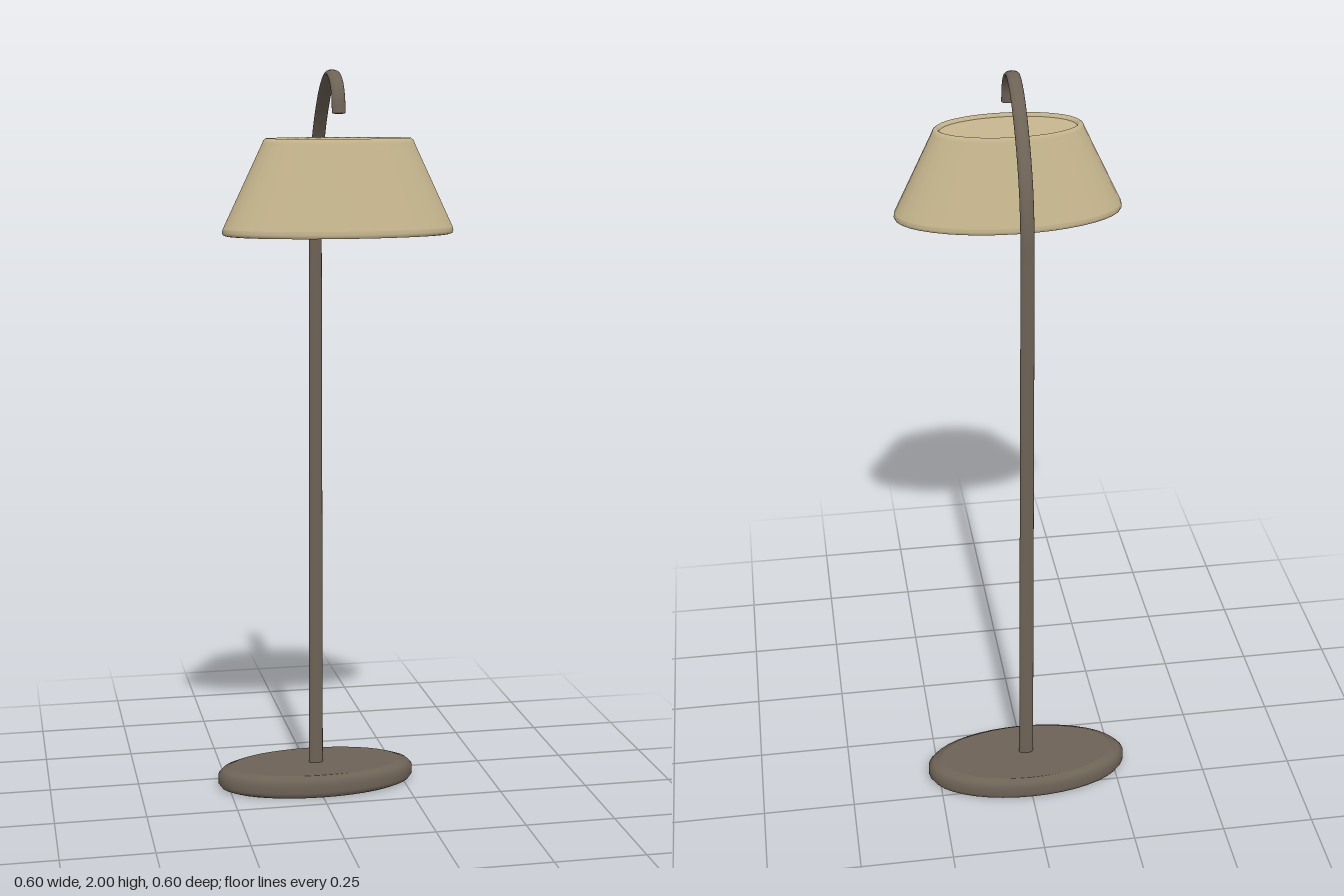
import * as THREE from 'three';

const FLATTEN = 0.465; // every round part is an ellipse, narrow from front to back
const SEGMENTS = 40;

export function createModel() {
  const model = new THREE.Group();
  const bronze = new THREE.MeshStandardMaterial({ color: 0x6d6256 });
  bronze.name = 'bronze';
  const linen = new THREE.MeshStandardMaterial({ color: 0xc8b78f });
  linen.name = 'linen';

  const add = (parent, name, geometry, material, z = 0) => {
    const mesh = new THREE.Mesh(geometry, material);
    mesh.name = name;
    mesh.position.z = z;
    parent.add(mesh);
  };

  // Elliptical turned part: separate profiles keep the edges between them sharp
  const turned = (name, material, z, profiles) => {
    const part = new THREE.Group();
    part.name = name;
    for (const [label, points] of Object.entries(profiles)) {
      const geometry = new THREE.LatheGeometry(
        points.map(([r, y]) => new THREE.Vector2(r, y)), SEGMENTS);
      geometry.scale(1, 1, FLATTEN);
      add(part, label, geometry, material, z);
    }
    model.add(part);
  };

  // Weighted foot with rounded edges
  turned('base', bronze, -0.17, {
    baseUnderside: [[0, 0], [0.258, 0]],
    baseEdge: [[0.258, 0], [0.272, 0.005], [0.28, 0.016], [0.28, 0.042], [0.267, 0.055], [0.242, 0.063]],
    baseTop: [[0.242, 0.063], [0, 0.063]],
  });

  // Tapered shade with a rolled rim and a slightly sunken top
  turned('shade', linen, 0.158, {
    shadeUnderside: [[0, 1.588], [0.288, 1.588]],
    shadeRim: [[0.288, 1.588], [0.295, 1.59], [0.298, 1.597], [0.296, 1.606]],
    shadeWall: [[0.296, 1.606], [0.196, 1.815]],
    shadeLip: [[0.196, 1.815], [0.192, 1.825], [0.185, 1.83], [0.179, 1.827], [0.176, 1.82]],
    shadeTop: [[0.176, 1.82], [0, 1.82]],
  });

  // Slightly tapered upright
  const pole = new THREE.CylinderGeometry(0.0175, 0.02, 1.54, 20, 1, true);
  pole.scale(1, 1, FLATTEN);
  pole.translate(0, 0.82, 0);
  add(model, 'pole', pole, bronze, -0.167);

  // Hooked arm reaching forward over the shade
  const path = new THREE.CatmullRomCurve3([
    [-0.167, 1.585], [-0.163, 1.68], [-0.14, 1.78], [-0.095, 1.865], [-0.025, 1.945],
    [0.03, 1.98], [0.075, 1.99], [0.125, 1.97], [0.15, 1.935], [0.158, 1.892],
  ].map(([z, y]) => new THREE.Vector3(0, y, z)));
  const arm = new THREE.TubeGeometry(path, 48, 0.0092, 16);
  arm.scale(1.9, 1, 1);
  add(model, 'arm', arm, bronze);

  // Closed tip of the arm
  const tip = new THREE.SphereGeometry(0.0092, 16, 8);
  tip.scale(1.9, 0.3, 1);
  tip.translate(0, 1.892, 0.158);
  add(model, 'armTip', tip, bronze);

  return model;
}
